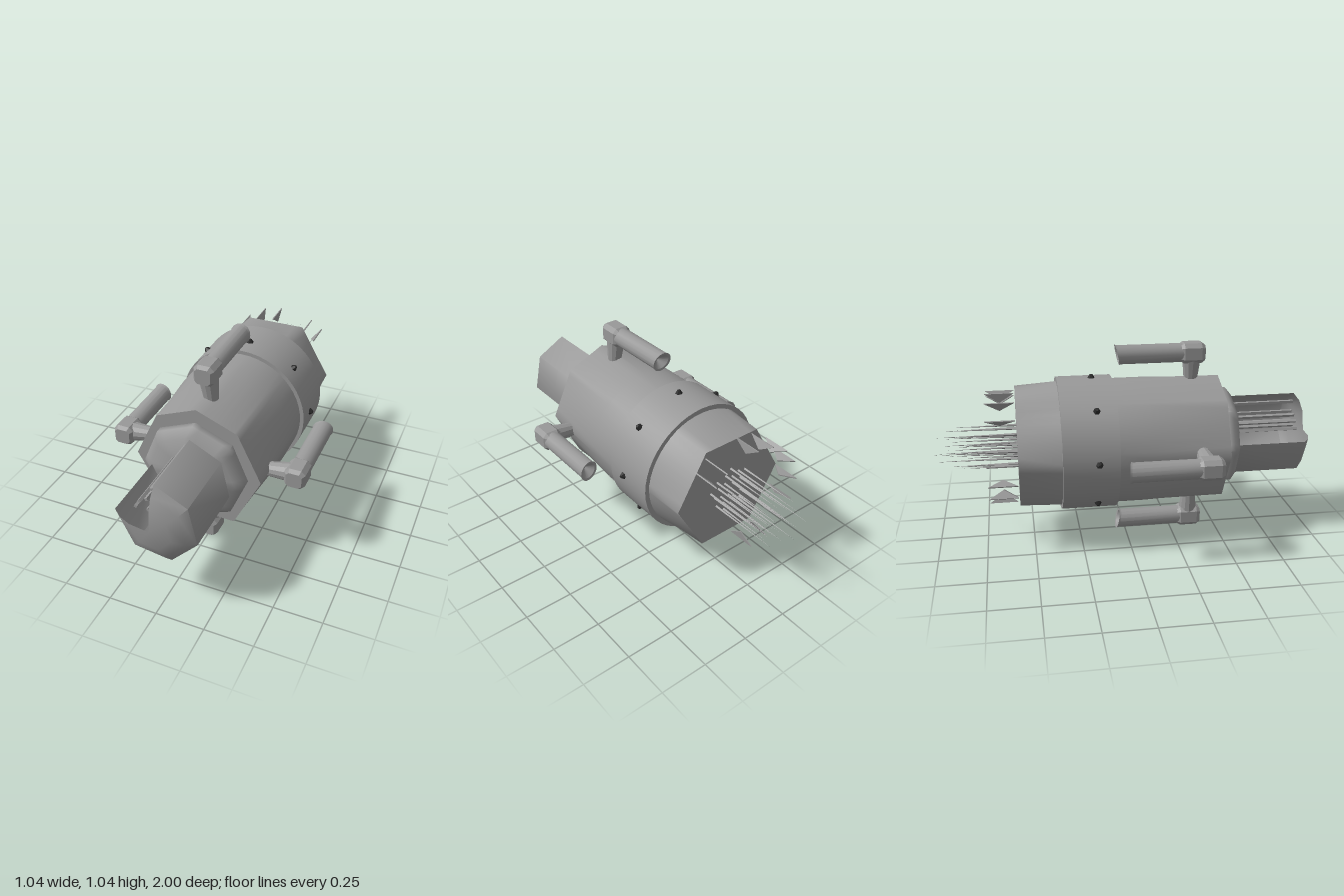
import * as THREE from 'three';
import { toCreasedNormals } from 'three/addons/utils/BufferGeometryUtils.js';

const metal = new THREE.MeshStandardMaterial({ color: 0x999999, side: THREE.DoubleSide });
const dark = new THREE.MeshStandardMaterial({ color: 0x2a2a2a });
const AXIS_Y = 0.525;
const TAU = Math.PI * 2;
const SMOOTH = 1.1;
const rad = THREE.MathUtils.degToRad;

function add(parent, name, geometry, crease = 0.5, material = metal) {
  const mesh = new THREE.Mesh(toCreasedNormals(geometry, crease), material);
  mesh.name = name;
  parent.add(mesh);
  return mesh;
}
const toShape = (pts) => new THREE.Shape(pts.map(([x, y]) => new THREE.Vector2(x, y)));

// Radius of a convex outline, given counter-clockwise, along a direction
function outline(pts) {
  return (a) => {
    const c = Math.cos(a), s = Math.sin(a);
    let best = Infinity;
    pts.forEach(([x, y], i) => {
      const [u, v] = pts[(i + 1) % pts.length];
      const nx = v - y, ny = x - u;
      const d = nx * c + ny * s;
      if (d > 1e-6) best = Math.min(best, (nx * x + ny * y) / d);
    });
    return best;
  };
}
const regular = (n, r) => Array.from({ length: n }, (_, i) => {
  const a = i / n * TAU;
  return [r * Math.cos(a), r * Math.sin(a)];
});
const circle = (r) => () => r;
const cornerAngles = (pts) => pts.map(([x, y]) => (Math.atan2(y, x) + TAU) % TAU);

// Skin over cross-sections [z, radius(angle)], listed front to back
function loft(sections, angles) {
  const pos = [], index = [], n = angles.length;
  for (const [z, radius] of sections) {
    for (const a of angles) {
      const r = radius(a);
      pos.push(r * Math.cos(a), r * Math.sin(a), z);
    }
  }
  for (let k = 0; k < sections.length - 1; k++) {
    for (let i = 0; i < n - 1; i++) {
      const p = k * n + i, q = p + n;
      index.push(p, q, p + 1, p + 1, q, q + 1);
    }
  }
  const g = new THREE.BufferGeometry();
  g.setAttribute('position', new THREE.Float32BufferAttribute(pos, 3));
  g.setIndex(index);
  return g;
}
function fullTurn(pts) {
  const list = [...cornerAngles(pts), ...Array.from({ length: 48 }, (_, i) => i / 48 * TAU)];
  const sorted = list.sort((a, b) => a - b).filter((a, i, all) => i === 0 || a - all[i - 1] > 1e-3);
  return [...sorted, sorted[0] + TAU];
}

// Thruster pod pointing backwards, outward direction is +y
function makePod() {
  const pod = new THREE.Group();

  // Strut tapering towards the hull, straight on its +x side
  const strutShape = new THREE.CylinderGeometry(0.052, 0.034, 0.16, 12);
  const s = strutShape.attributes.position;
  for (let i = 0; i < s.count; i++) {
    if (s.getY(i) < 0) s.setX(i, s.getX(i) + 0.018);
  }
  add(pod, 'podStrut', strutShape).position.set(0, 0.375, 0.355);

  // Bevelled housing with cut corners
  const a = 0.04, b = 0.026;
  const face = toShape([[a, -b], [a, b], [b, a], [-b, a], [-a, b], [-a, -b], [-b, -a], [b, -a]]);
  const housing = add(pod, 'podHousing', new THREE.ExtrudeGeometry(face, {
    depth: 0.09, bevelThickness: 0.02, bevelSize: 0.013, bevelSegments: 1 }));
  housing.position.set(0, 0.465, 0.31);

  // Hollow tube with a slanted mouth
  const profile = [[0, 0.33], [0.05, 0.33], [0.05, -0.03], [0.054, -0.04], [0.042, -0.037], [0, 0.01]];
  const g = new THREE.LatheGeometry(profile.map(([r, z]) => new THREE.Vector2(r, -z)), 16);
  g.rotateX(-Math.PI / 2);
  const p = g.attributes.position;
  for (let i = 0; i < p.count; i++) {
    if (p.getZ(i) < 0) p.setZ(i, p.getZ(i) - p.getY(i) * 0.2);
  }
  add(pod, 'podNozzle', g).position.y = 0.465;
  return pod;
}

export function createModel() {
  const model = new THREE.Group();
  const ship = new THREE.Group();
  ship.name = 'craft';
  ship.position.y = AXIS_Y;
  model.add(ship);

  // Main hull, faceted at its front and round behind
  const front = [[0, 0.335], [-0.21, 0.25], [-0.33, 0], [-0.18, -0.275], [0.19, -0.285], [0.33, 0], [0.21, 0.25]];
  add(ship, 'hull', loft([
    [0.5, circle(0)], [0.5, outline(front)], [0.1, circle(0.33)], [-0.1, circle(0.33)],
  ], fullTurn(front)), SMOOTH);

  // Wide band around the hull
  add(ship, 'band', loft([
    [-0.07, circle(0.32)], [-0.07, circle(0.35)], [-0.355, circle(0.35)], [-0.355, circle(0.3)],
  ], fullTurn([])));

  // Tail narrowing to a six-sided end plate
  const end = regular(6, 0.32);
  add(ship, 'tail', loft([
    [-0.34, circle(0.328)], [-0.57, outline(end)], [-0.57, circle(0)],
  ], fullTurn(end)), SMOOTH);

  // Eight-sided collar
  const ring = (r) => outline(regular(8, r));
  add(ship, 'collar', loft([
    [0.575, circle(0)], [0.575, ring(0.225)], [0.54, ring(0.267)], [0.505, ring(0.267)], [0.495, ring(0.25)],
  ], fullTurn(regular(8, 1))), SMOOTH);

  // Nose shell and dome with an open upper sector
  const nose = [[0, 0.215], [-0.13, 0.16], [-0.21, 0.01], [-0.125, -0.175], [0.067, -0.205], [0.2, -0.065], [0.16, 0.13]];
  const noseRadius = outline(nose);
  const scaled = (k) => (a) => noseRadius(a) * k;
  const from = rad(177.3), to = rad(450);
  const noseAngles = [from, to, ...cornerAngles(nose).map((a) => a < from ? a + TAU : a)
    .filter((a) => a > from + 0.01 && a < to - 0.01)].sort((a, b) => a - b);
  add(ship, 'nose', loft([
    [1, circle(0)], [0.99, scaled(0.5)], [0.965, scaled(0.8)], [0.93, scaled(1)], [0.57, scaled(1)],
  ], noseAngles), SMOOTH);

  // Thin rods inside the open nose
  const rods = [[-0.086, 0.086], [-0.05, 0.108], [-0.011, 0.117], [-0.011, 0.064], [-0.044, 0.05], [-0.108, 0.05], [-0.02, 0.175]];
  for (const [x, y] of rods) {
    const rod = add(ship, 'noseRod', new THREE.BoxGeometry(0.014, 0.014, 0.35));
    rod.position.set(x, y, 0.745);
    rod.rotation.z = Math.atan2(y, x);
  }

  // Needles behind the tail
  for (let i = 0; i < 24; i++) {
    const a = i * 2.4, r = 0.125 * Math.sqrt((i + 0.5) / 24);
    const length = 0.28 + 0.15 * ((i * 7) % 10) / 9;
    const needle = add(ship, 'tailNeedle', new THREE.ConeGeometry(0.007, length, 4));
    needle.rotation.x = -Math.PI / 2;
    needle.position.set(r * Math.cos(a), r * Math.sin(a), -0.57 - length / 2);
  }

  // Triangular fins around the tail rim, points facing inwards
  const fin = toShape([[0, 0.075], [0, -0.075], [-0.05, 0]]);
  for (const deg of [42, 57, 95, 115, 137, 158, 180, 202, 223, 245, 265]) {
    const a = rad(deg);
    const holder = new THREE.Group();
    holder.name = 'tailFin';
    holder.rotation.z = a;
    const g = new THREE.ExtrudeGeometry(fin, { depth: 0.006, bevelEnabled: false });
    g.rotateX(Math.PI / 2);
    add(holder, 'finBlade', g).position.set(0.29 + 0.02 * Math.abs(Math.cos(a)), 0, -0.65);
    ship.add(holder);
  }

  // Eight small dark studs on the band
  for (let i = 0; i < 8; i++) {
    const a = i / 8 * TAU;
    const stud = add(ship, 'bandStud', new THREE.CylinderGeometry(0.008, 0.022, 0.022, 6), 0.5, dark);
    stud.position.set(0.356 * Math.cos(a), 0.356 * Math.sin(a), -0.175);
    stud.rotation.z = a - Math.PI / 2;
  }

  // Four pods
  ['top', 'right', 'bottom', 'left'].forEach((side, i) => {
    const pod = makePod();
    pod.name = side + 'Pod';
    pod.rotation.z = i * Math.PI / 2;
    ship.add(pod);
  });

  return model;
}
